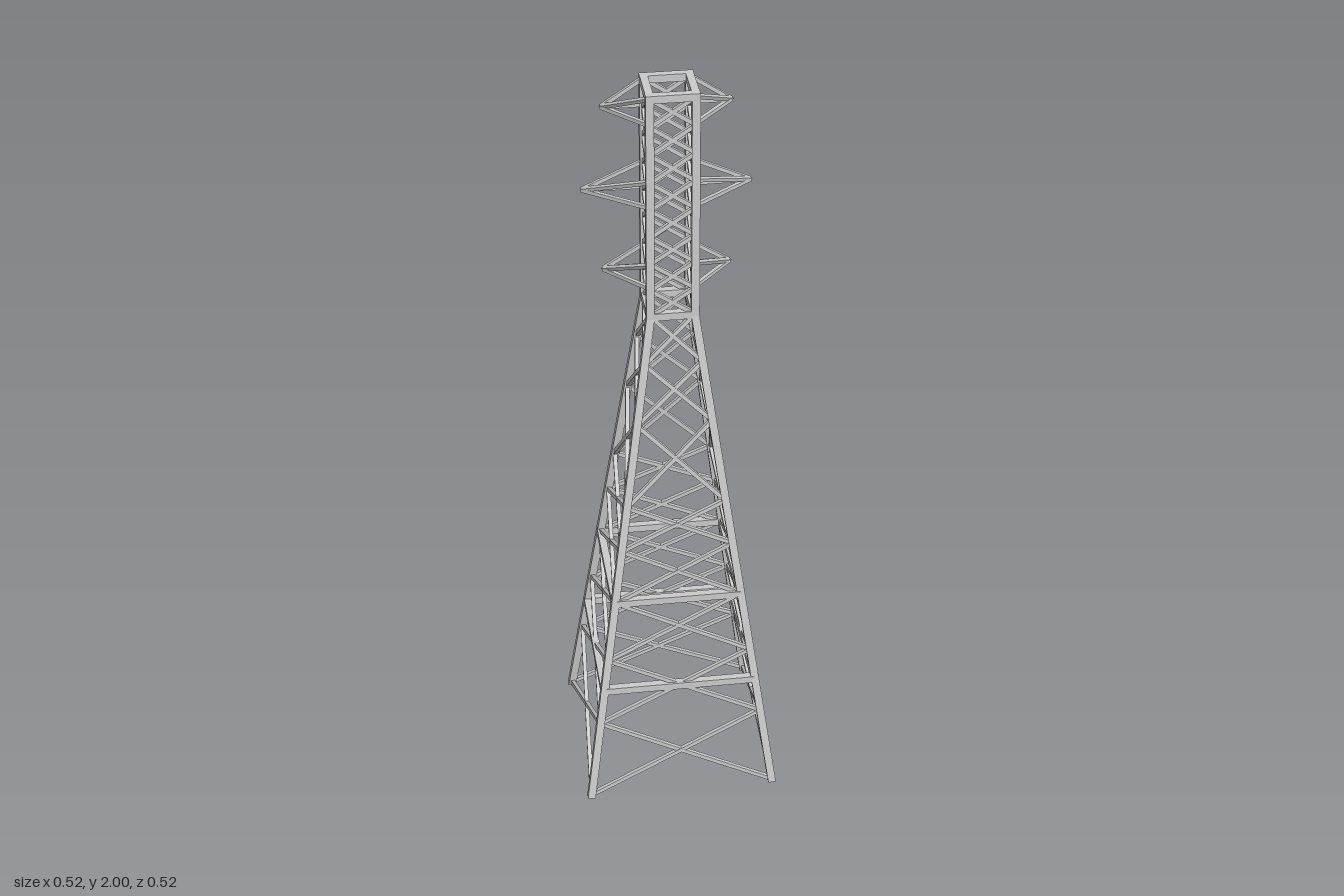
import * as THREE from 'three';

const material = new THREE.MeshStandardMaterial({ color: 0xcccccc, flatShading: true });
const V = (x, y, z) => new THREE.Vector3(x, y, z);

const WAIST = 1.39, TOP = 1.99, COLUMN = 0.056, BASE = 0.248;
const LEG = 0.0205, BRACE = 0.011, ARM = 0.01;

// distance of the leg centre lines from the axis at height y
const spread = (y) => (y >= WAIST ? COLUMN : BASE + (COLUMN - BASE) * (y / WAIST));

// square bar from a to b, with one side kept facing the given direction
function bar(name, a, b, size, facing = V(0, 0, 1)) {
  const dir = b.clone().sub(a);
  const length = dir.length();
  dir.normalize();
  const z = facing.clone().addScaledVector(dir, -facing.dot(dir)).normalize();
  const x = new THREE.Vector3().crossVectors(dir, z);
  const mesh = new THREE.Mesh(new THREE.BoxGeometry(size, length, size), material);
  mesh.name = name;
  mesh.quaternion.setFromRotationMatrix(new THREE.Matrix4().makeBasis(x, dir, z));
  mesh.position.copy(a).add(b).multiplyScalar(0.5);
  return mesh;
}

// one side of the tower: a leg, its cross bracing and its horizontal beams
function createSide() {
  const side = new THREE.Group();
  const corner = (s, y) => V(s * spread(y), y, spread(y));

  side.add(bar('lowerLeg', corner(1, 0.003), corner(1, WAIST), LEG));
  side.add(bar('columnLeg', corner(1, WAIST - 0.005), corner(1, TOP), LEG));

  // cross braces: uneven panels on the taper, eight equal panels on the column
  const levels = [0.01, 0.23, 0.42, 0.59, 0.74, 0.865, 1.095, 1.26, WAIST];
  for (let i = 1; i <= 8; i++) levels.push(WAIST + (i * (TOP - WAIST)) / 8);
  for (let i = 0; i < levels.length - 1; i++) {
    for (const s of [-1, 1]) {
      side.add(bar('crossBrace', corner(s, levels[i]), corner(-s, levels[i + 1]), BRACE));
    }
  }

  // horizontal beams
  for (const y of [0.33, 0.59, WAIST, TOP]) {
    const reach = spread(y) + (y === TOP ? LEG / 2 : 0);
    side.add(bar('horizontalBeam', V(-reach, y, spread(y)), V(reach, y, spread(y)), LEG * 0.97));
  }
  return side;
}

// pointed arm: two lower and two upper struts meeting at a tip on the rear plane
function createArm(s, y, reach, rise) {
  const arm = new THREE.Group();
  const tip = V(s * reach, y, -COLUMN - 0.002);
  for (const z of [-COLUMN - 0.002, COLUMN + 0.002]) {
    arm.add(bar('lowerStrut', V(s * COLUMN, y, z), tip, ARM));
    arm.add(bar('upperStrut', V(s * COLUMN, y + rise, z), tip, ARM));
  }
  return arm;
}

export function createModel() {
  const tower = new THREE.Group();
  tower.name = 'latticeTower';

  ['frontSide', 'leftSide', 'backSide', 'rightSide'].forEach((name, i) => {
    const side = createSide();
    side.name = name;
    side.rotation.y = (i * Math.PI) / 2;
    tower.add(side);
  });

  // three tiers of arms, the middle one longest
  const tiers = [['lowerArm', 1.47, 0.16, 0.065], ['middleArm', 1.697, 0.21, 0.07], ['upperArm', 1.92, 0.16, 0.07]];
  for (const [name, y, reach, rise] of tiers) {
    for (const s of [-1, 1]) {
      const arm = createArm(s, y, reach, rise);
      arm.name = name + (s > 0 ? 'Left' : 'Right');
      tower.add(arm);
    }
  }
  return tower;
}
